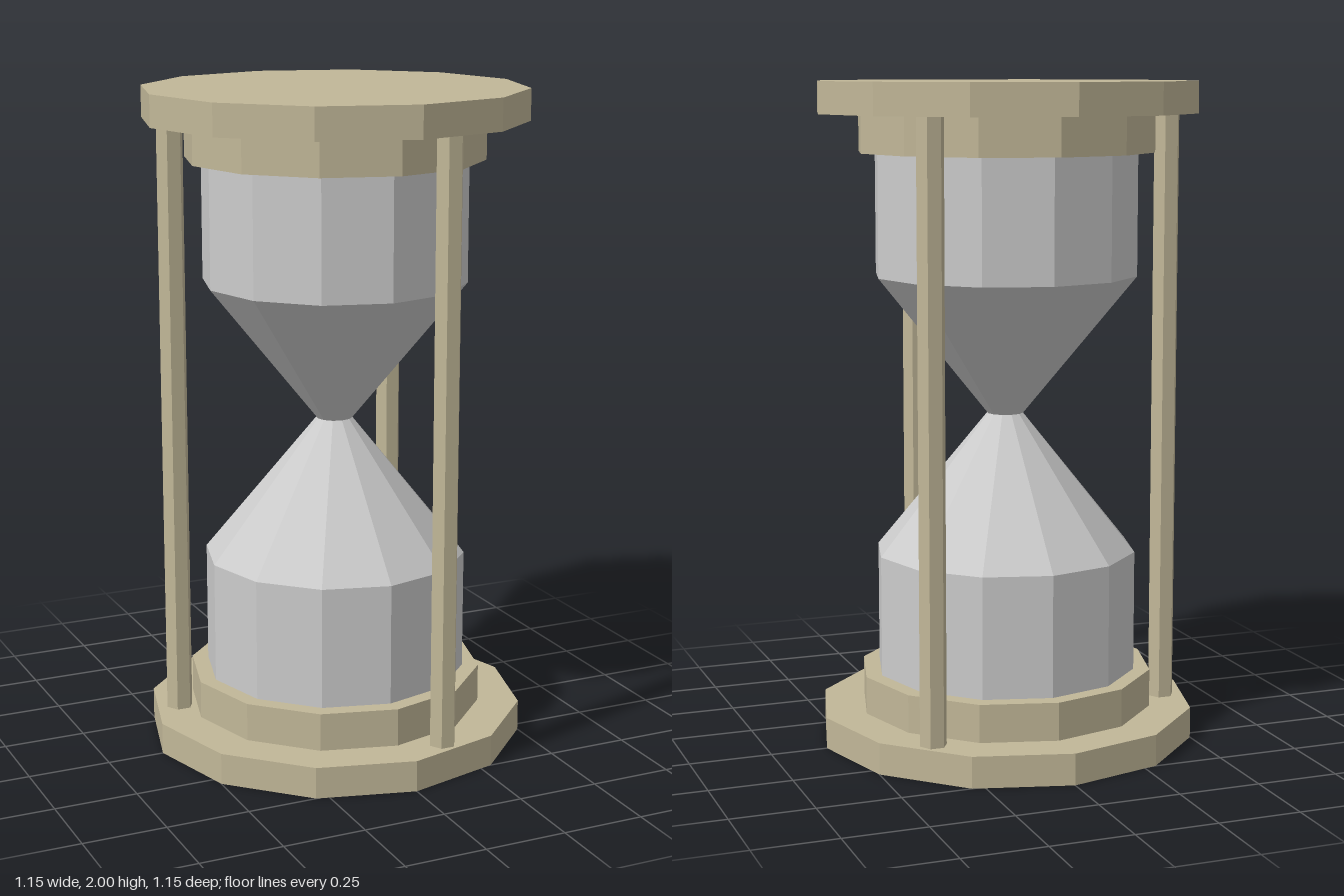
import * as THREE from 'three';

const SIDES = 12;

export function createModel() {
  const model = new THREE.Group();
  model.name = 'hourglass';
  const wood = new THREE.MeshStandardMaterial({ color: 0xc1b798, flatShading: true });
  const glass = new THREE.MeshStandardMaterial({ color: 0xcccccc, flatShading: true });

  const add = (name, geometry, material, x = 0, y = 0, z = 0) => {
    const mesh = new THREE.Mesh(geometry, material);
    mesh.name = name;
    mesh.position.set(x, y, z);
    model.add(mesh);
    return mesh;
  };

  // Twelve-sided disc between two heights
  const disc = (name, radius, y0, y1) =>
    add(name, new THREE.CylinderGeometry(radius, radius, y1 - y0, SIDES), wood, 0, (y0 + y1) / 2, 0);

  // Stepped end plates, mirrored top and bottom
  disc('bottomPlate', 0.577, 0, 0.095);
  disc('bottomCollar', 0.45, 0.095, 0.21);
  disc('topCollar', 0.45, 1.79, 1.905);
  disc('topPlate', 0.577, 1.905, 2);

  // Glass bulbs: straight wall, cone, narrow neck
  const profile = [[0.4, 0.21], [0.4, 0.578], [0.055, 1], [0.4, 1.422], [0.4, 1.79]]
    .map(([r, y]) => new THREE.Vector2(r, y));
  add('glassBulbs', new THREE.LatheGeometry(profile, SIDES), glass);

  // Three hexagonal posts, all turned the same way
  const post = new THREE.CylinderGeometry(0.041, 0.041, 1.81, 6).rotateY(Math.PI / 6);
  [[0.127, 0.491], [-0.473, -0.124], [0.357, -0.359]].forEach(([x, z], i) =>
    add(`post${i + 1}`, post, wood, x, 1, z));

  return model;
}
